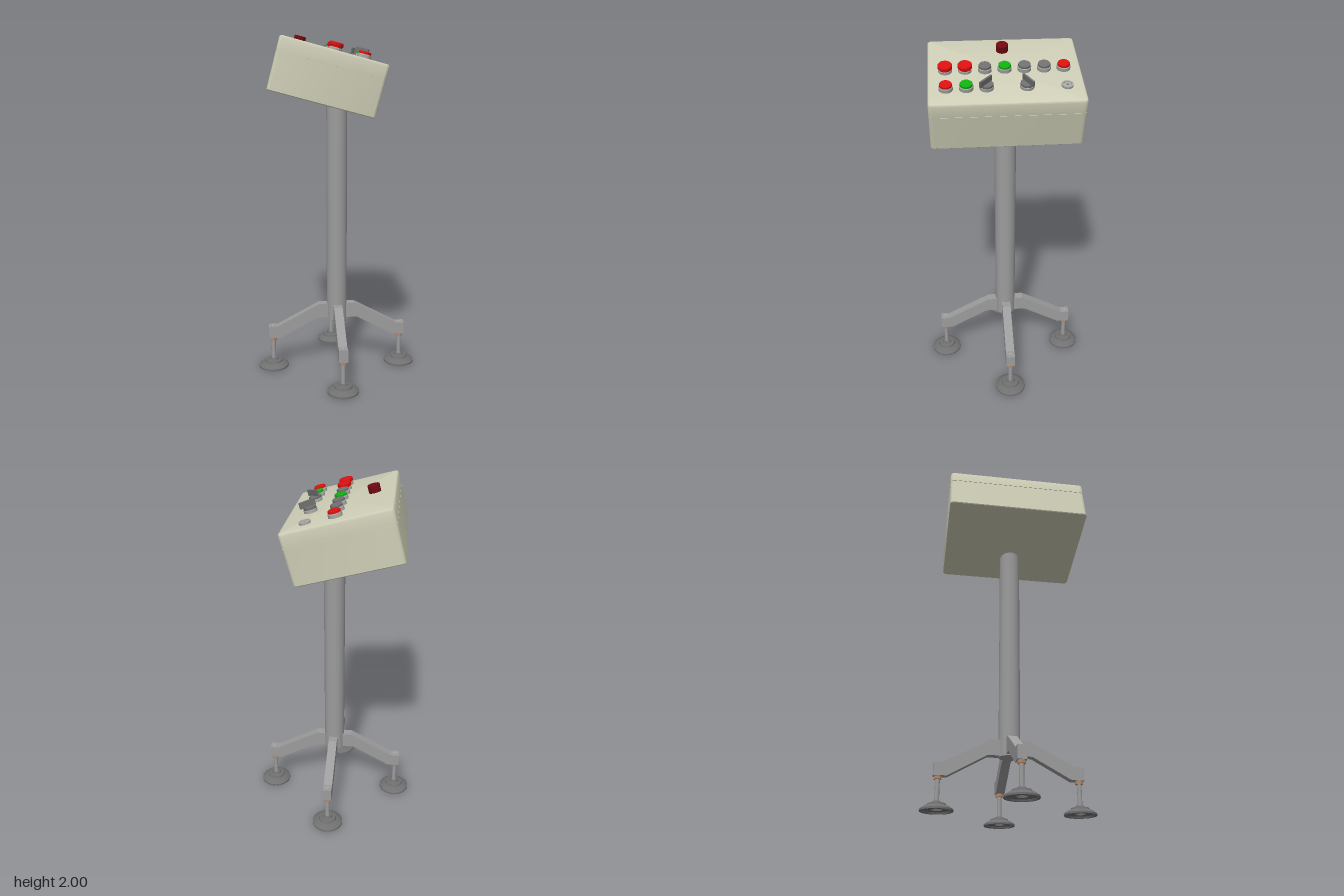
import * as THREE from 'three';
import { toCreasedNormals } from 'three/addons/utils/BufferGeometryUtils.js';

const mat = (color) => new THREE.MeshStandardMaterial({ color, side: THREE.DoubleSide });
const steel = mat(0x9c9c9c), darkGrey = mat(0x707070), bezelGrey = mat(0xa8a8a4);
const beige = mat(0xcdcdb6), brass = mat(0xb98a6a);
const red = mat(0xdc1010), green = mat(0x10b010), darkRed = mat(0x700a10);

function add(parent, name, geometry, material, x = 0, y = 0, z = 0) {
  const mesh = new THREE.Mesh(geometry, material);
  mesh.name = name;
  mesh.position.set(x, y, z);
  parent.add(mesh);
  return mesh;
}

// Revolved part with crisp rims
function lathe(profile, segments = 36) {
  const pts = profile.map(([r, y]) => new THREE.Vector2(r, y));
  return toCreasedNormals(new THREE.LatheGeometry(pts, segments), 0.5);
}

// Cylinder standing on y = 0 with a small chamfer on its top rim
const knob = (r, h, c = 0.003) => lathe([[0, 0], [r, 0], [r, h - c], [r - c, h], [0, h]], 32);

// Rounded-rectangle sections, given as [height, inset], stacked and capped
function roundedStack(w, d, radius, sections) {
  const ring = ([y, inset]) => {
    const pts = [], r = radius - inset;
    for (let q = 0; q < 4; q++) {
      const cx = (q === 0 || q === 3 ? 1 : -1) * (w / 2 - radius);
      const cz = (q < 2 ? 1 : -1) * (d / 2 - radius);
      for (let s = 0; s <= 6; s++) {
        const a = (q + s / 6) * Math.PI / 2;
        pts.push([cx + r * Math.cos(a), y, cz + r * Math.sin(a)]);
      }
    }
    return pts;
  };
  const rings = sections.map(ring), pos = [], n = rings[0].length;
  const tri = (...corners) => corners.forEach((p) => pos.push(...p));
  const last = rings.length - 1;
  for (let i = 0; i < n; i++) {
    const j = (i + 1) % n;
    for (let k = 0; k < last; k++) {
      const b = rings[k], t = rings[k + 1];
      tri(b[i], t[i], b[j]);
      tri(b[j], t[i], t[j]);
    }
    tri([0, sections[0][0], 0], rings[0][i], rings[0][j]);
    tri([0, sections[last][0], 0], rings[last][j], rings[last][i]);
  }
  const geo = new THREE.BufferGeometry();
  geo.setAttribute('position', new THREE.Float32BufferAttribute(pos, 3));
  return toCreasedNormals(geo, 0.6);
}

function pushButton(capMaterial) {
  const g = new THREE.Group();
  g.name = 'pushButton';
  add(g, 'bezel', knob(0.037, 0.022), bezelGrey);
  add(g, 'cap', knob(0.033, 0.036), capMaterial);
  return g;
}

function mushroomButton() {
  const g = new THREE.Group();
  g.name = 'mushroomButton';
  add(g, 'bezel', knob(0.036, 0.016), bezelGrey);
  add(g, 'cap', lathe([[0, 0.016], [0.034, 0.016], [0.034, 0.022], [0.039, 0.024],
    [0.039, 0.038], [0.035, 0.043], [0, 0.044]]), red);
  return g;
}

function selectorSwitch(angle) {
  const g = new THREE.Group();
  g.name = 'selectorSwitch';
  add(g, 'bezel', knob(0.037, 0.018), bezelGrey);
  add(g, 'dial', knob(0.035, 0.032), darkGrey);
  add(g, 'lever', new THREE.BoxGeometry(0.09, 0.034, 0.01), darkGrey, 0.008, 0.047, 0);
  g.rotation.y = angle;
  return g;
}

function keyLock() {
  const g = new THREE.Group();
  g.name = 'keyLock';
  add(g, 'ring', lathe([[0.031, 0], [0.031, 0.012], [0.028, 0.015], [0.022, 0.015],
    [0.02, 0.008], [0, 0.008]]), bezelGrey);
  add(g, 'core', knob(0.006, 0.011, 0.001), darkGrey);
  return g;
}

function levellingFoot() {
  const g = new THREE.Group();
  g.name = 'levellingFoot';
  add(g, 'pad', lathe([[0, 0.022], [0.03, 0.022], [0.032, 0.008], [0.048, 0.008], [0.052, 0.016],
    [0.078, 0.01], [0.082, 0], [0.091, 0], [0.091, 0.01], [0.07, 0.026], [0.053, 0.03],
    [0.05, 0.04], [0.028, 0.043], [0.024, 0.052], [0, 0.052]]), darkGrey);
  add(g, 'stem', new THREE.CylinderGeometry(0.013, 0.013, 0.15, 20), steel, 0, 0.115, 0);
  add(g, 'nut', new THREE.CylinderGeometry(0.023, 0.023, 0.018, 6), brass, 0, 0.179, 0);
  add(g, 'stemTip', new THREE.CylinderGeometry(0.01, 0.01, 0.004, 16), bezelGrey, 0, 0.263, 0);
  return g;
}

function legGeometry() {
  const outline = [[0.03, 0.31], [0.125, 0.31], [0.345, 0.188], [0.418, 0.188],
    [0.418, 0.262], [0.365, 0.262], [0.108, 0.4], [0.03, 0.4]];
  const shape = new THREE.Shape(outline.map(([x, y]) => new THREE.Vector2(x, y)));
  const geo = new THREE.ExtrudeGeometry(shape, { depth: 0.052, bevelEnabled: false });
  return geo.translate(0, 0, -0.026);
}

export function createModel() {
  const model = new THREE.Group();
  model.name = 'controlPedestal';

  // Column
  add(model, 'column', new THREE.CylinderGeometry(0.061, 0.061, 1.33, 40), steel, 0, 0.97, 0);

  // Four legs with levelling feet
  const legGeo = legGeometry();
  for (let k = 0; k < 4; k++) {
    const leg = new THREE.Group();
    leg.name = 'leg';
    add(leg, 'arm', legGeo, steel);
    const foot = levellingFoot();
    foot.position.x = 0.392;
    leg.add(foot);
    leg.rotation.y = k * Math.PI / 2;
    model.add(leg);
  }

  // Tilted console: body and lid with a fine seam between them
  const consoleBox = new THREE.Group();
  consoleBox.name = 'console';
  consoleBox.position.set(-0.08, 1.766, 0);
  consoleBox.rotation.z = -Math.PI / 12;
  model.add(consoleBox);
  const top = 0.1435, seam = top - 0.08;
  add(consoleBox, 'housing', roundedStack(0.59, 0.82, 0.022, [
    [-top, 0.004], [-top + 0.004, 0],
    [seam - 0.0015, 0], [seam - 0.0015, 0.002], [seam + 0.0015, 0.002], [seam + 0.0015, 0],
    [top - 0.012, 0], [top - 0.006, 0.0016], [top - 0.0016, 0.006], [top, 0.012],
  ]), beige);

  // Controls on the lid
  const place = (control, x, z) => {
    control.position.set(x, top, z);
    consoleBox.add(control);
  };
  const pitch = 0.1053, upper = 0.003, lower = 0.162;
  [red, darkGrey, darkGrey, green, darkGrey].forEach((m, i) => place(pushButton(m), upper, (i - 3) * pitch));
  place(mushroomButton(), upper, 2 * pitch);
  place(mushroomButton(), upper, 3 * pitch);
  place(keyLock(), lower, -3 * pitch);
  place(selectorSwitch(0.56), lower, -pitch);
  place(selectorSwitch(-0.77), lower, pitch);
  place(pushButton(green), lower, 2 * pitch);
  place(pushButton(red), lower, 3 * pitch);

  // Signal lamp
  add(consoleBox, 'signalLamp', knob(0.033, 0.041), darkRed, -0.18, top, 0);

  return model;
}
